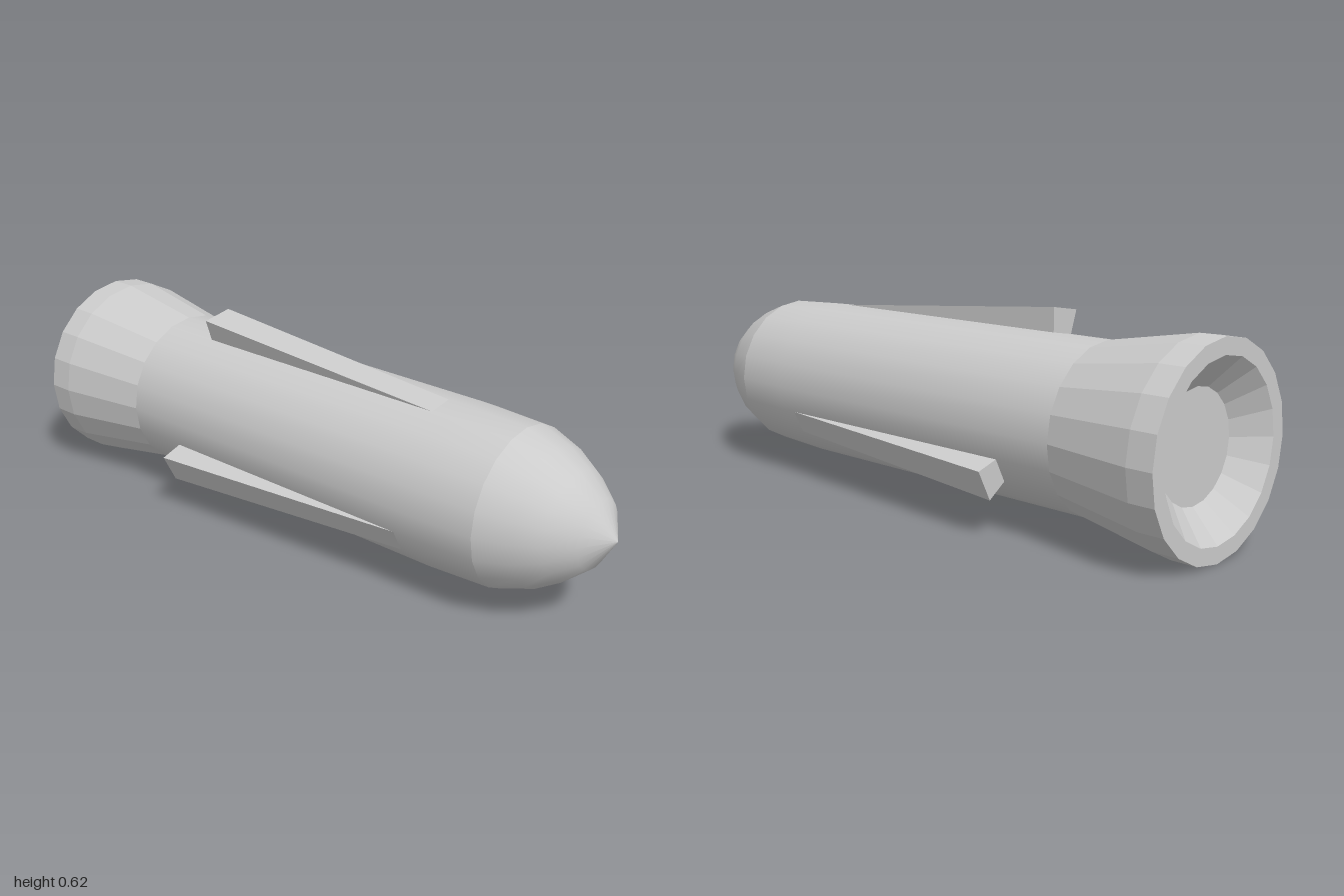
import * as THREE from 'three';

const SIDES = 20;
const AXIS_Y = 0.298;

// Lathe around the z axis; profile points are [radius, z], listed from rear to front
function turned(name, profile, flatShading = false) {
  const points = profile.map(([r, z]) => new THREE.Vector2(r, z));
  const geometry = new THREE.LatheGeometry(points, SIDES).rotateX(Math.PI / 2);
  const mesh = new THREE.Mesh(geometry, new THREE.MeshStandardMaterial({ color: 0xcccccc, flatShading }));
  mesh.name = name;
  return mesh;
}

// Wedge fin: one body facet wide, rising from a thin front edge to a square rear end
function createFin(degrees) {
  const half = Math.PI / SIDES;
  const mid = THREE.MathUtils.degToRad(degrees);
  const corner = (side, r, z) => [Math.cos(mid + side * half) * r, Math.sin(mid + side * half) * r, z];
  const positions = [
    corner(-1, 0.243, 0.5), corner(1, 0.243, 0.5), // front edge
    corner(-1, 0.235, -0.44), corner(1, 0.235, -0.44), // rear, inner
    corner(-1, 0.32, -0.44), corner(1, 0.32, -0.44), // rear, outer
  ].flat();
  const geometry = new THREE.BufferGeometry();
  geometry.setAttribute('position', new THREE.Float32BufferAttribute(positions, 3));
  geometry.setIndex([
    0, 5, 1, 0, 4, 5, // outer slope
    2, 3, 5, 2, 5, 4, // rear end
    0, 2, 4, 1, 5, 3, // sides
    0, 1, 3, 0, 3, 2, // underside
  ]);
  const flat = geometry.toNonIndexed();
  flat.computeVertexNormals();
  const mesh = new THREE.Mesh(flat, new THREE.MeshStandardMaterial({
    color: 0xcccccc, flatShading: true, side: THREE.DoubleSide,
  }));
  mesh.name = 'fin';
  return mesh;
}

export function createModel() {
  const model = new THREE.Group();
  model.name = 'rocket';

  // Smooth nose and body
  model.add(turned('nose', [[0.239, 0.7], [0.203, 0.8], [0.16, 0.87], [0.1, 0.94], [0, 1]]));
  model.add(turned('body', [[0.248, -0.63], [0.248, 0.5], [0.239, 0.7]]));

  // Faceted tail flare with a shallow recessed nozzle
  model.add(turned('tailFlare', [
    [0, -0.92], [0.16, -0.92], [0.25, -1], [0.298, -1], [0.298, -0.92], [0.248, -0.63],
  ], true));

  // Three fins, each sitting on a body facet
  for (const degrees of [99, 207, 333]) model.add(createFin(degrees));

  for (const part of model.children) part.position.y = AXIS_Y;
  return model;
}
